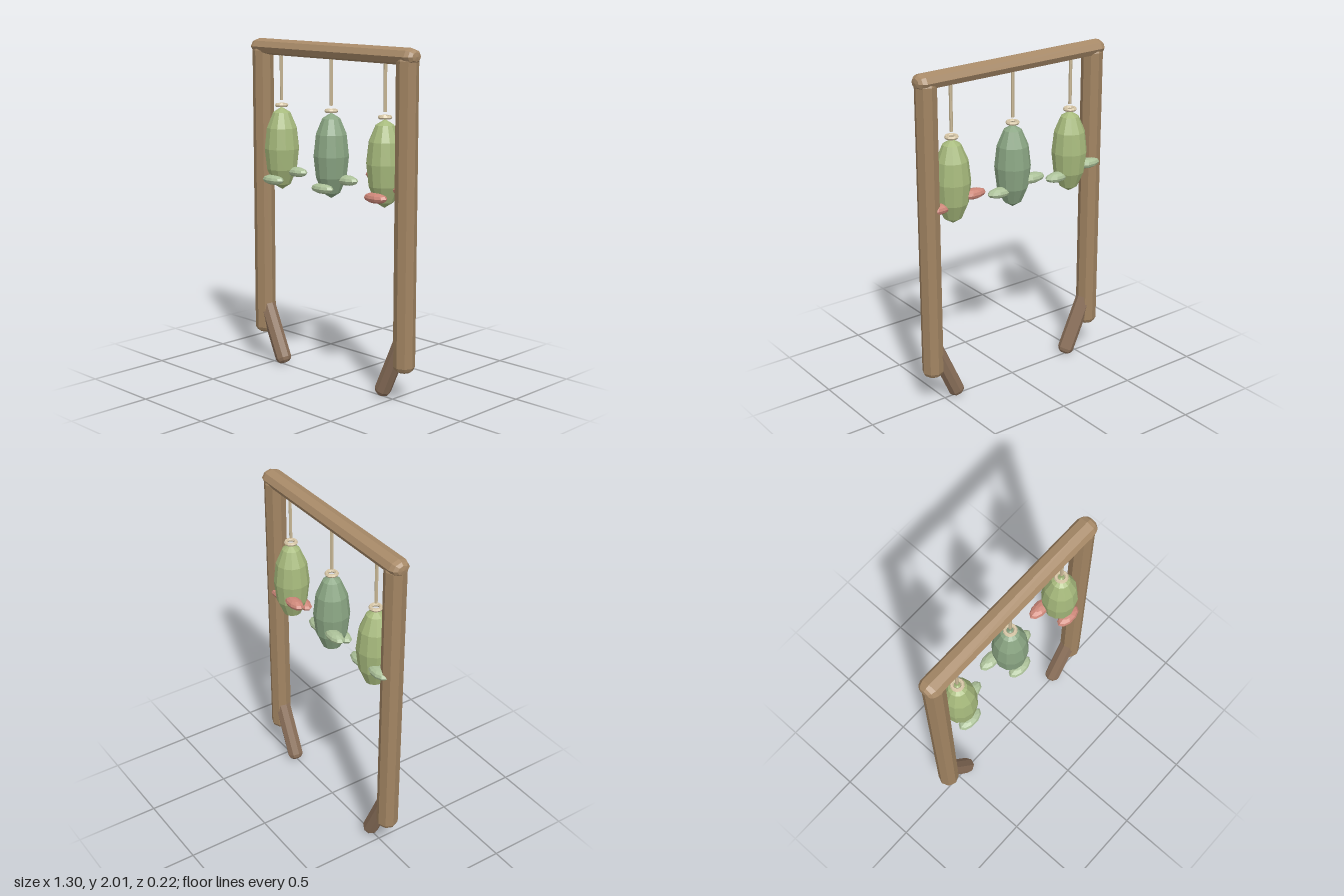
import * as THREE from 'three';

const Z = -0.004; // depth centre of the frame

const mat = (color) => new THREE.MeshStandardMaterial({ color, flatShading: true });
const beamMat = mat(0xa88a68);
const postMat = mat(0xa18462);
const braceMat = mat(0x8c715b);
const cordMat = mat(0xc9b896);
const ringMat = mat(0xd6c6a6);
const paleGreen = mat(0xabc098);
const red = mat(0xcc8678);

function add(parent, name, geometry, material, x = 0, y = 0, z = 0) {
  const mesh = new THREE.Mesh(geometry, material);
  mesh.name = name;
  mesh.position.set(x, y, z);
  parent.add(mesh);
  return mesh;
}

// Eight-sided log along y with blunt rounded ends, centred on the origin
function log(radius, length, cap) {
  const h = length / 2;
  const half = [[0, h], [radius * 0.55, h - cap * 0.1], [radius * 0.85, h - cap * 0.45], [radius, h - cap]];
  const profile = [...half, ...half.map(([r, y]) => [r, -y]).reverse()].reverse();
  return new THREE.LatheGeometry(profile.map(([r, y]) => new THREE.Vector2(r, y)), 8);
}

// Low-poly ellipsoid
function ellipsoid(rx, ry, rz, around, rings) {
  return new THREE.SphereGeometry(1, around, rings).scale(rx, ry, rz);
}

// Hanging pod with its cord, ring and three lobes
function hangingPod(x, podMat, lobeMat) {
  const pod = new THREE.Group();
  pod.name = 'hangingPod';
  pod.position.set(x, 0, Z);
  add(pod, 'cord', new THREE.CylinderGeometry(0.01, 0.01, 0.28, 6), cordMat, 0, 1.78, 0);
  add(pod, 'ring', new THREE.TorusGeometry(0.03, 0.011, 6, 12).rotateX(Math.PI / 2), ringMat, 0, 1.61, 0);
  add(pod, 'podBody', ellipsoid(0.106, 0.25, 0.106, 12, 6), podMat, 0, 1.35, 0);
  const lobes = [[0, 1.165, 0.073], [0.107, 1.215, -0.02], [-0.105, 1.268, -0.052]];
  for (const [lx, ly, lz] of lobes) {
    add(pod, 'lobe', ellipsoid(0.082, 0.03, 0.042, 10, 6), lobeMat, lx, ly, lz);
  }
  return pod;
}

export function createModel() {
  const model = new THREE.Group();
  model.name = 'hangingFrame';

  // Top beam, slightly flattened
  const beam = log(0.063, 1.3, 0.045).rotateZ(Math.PI / 2).scale(1, 0.76, 1);
  add(model, 'topBeam', beam, beamMat, 0, 1.952, Z);

  for (const side of [-1, 1]) {
    // Upright post
    add(model, 'post', log(0.063, 1.79, 0.035), postMat, side * 0.581, 1.068, Z);

    // Slanted brace leaning inwards at the foot
    const brace = add(model, 'brace', log(0.049, 0.44, 0.035), braceMat, side * 0.497, 0.203, Z);
    brace.rotation.z = -side * 0.425;
  }

  // Three pods under the beam
  const outer = mat(0xa6b97c);
  const middle = mat(0x8aa583);
  model.add(hangingPod(-0.42, outer, paleGreen));
  model.add(hangingPod(0, middle, paleGreen));
  model.add(hangingPod(0.42, outer, red));
  return model;
}
